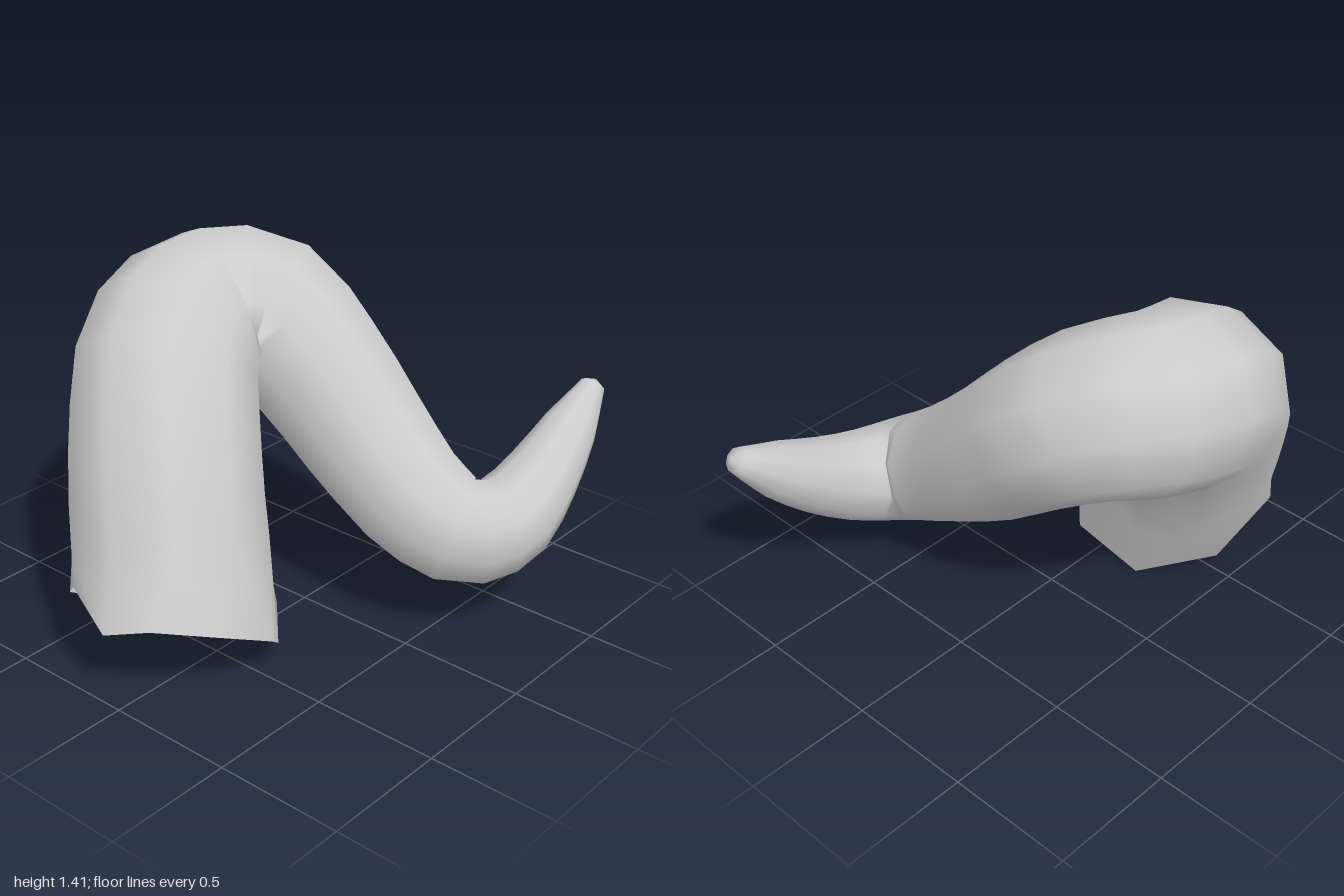
import * as THREE from 'three';

const SIDES = 10;
const STEPS = 28;

// Centre line from the open root to the tip: x, y, z, radius
const SPINE = [
  [-0.09, 0.18, 0.60, 0.375],
  [-0.19, 0.43, 0.54, 0.375],
  [-0.32, 0.74, 0.42, 0.365],
  [-0.45, 0.99, 0.25, 0.35],
  [-0.49, 1.08, 0.02, 0.33],
  [-0.36, 1.07, -0.17, 0.31],
  [-0.12, 0.89, -0.21, 0.285],
  [0.13, 0.67, -0.21, 0.26],
  [0.39, 0.48, -0.20, 0.23],
  [0.56, 0.40, -0.25, 0.21],
  [0.645, 0.41, -0.40, 0.185],
  [0.66, 0.51, -0.60, 0.15],
  [0.655, 0.65, -0.80, 0.11],
  [0.65, 0.78, -0.96, 0.05],
];

// Ragged rim of the open root, counter-clockwise seen from above
const RIM = [
  [-0.46, 0.21, 0.80], [-0.26, 0.38, 0.95], [-0.06, 0.285, 1.0], [0.10, 0.33, 0.93],
  [0.25, 0.28, 0.74], [0.28, 0.16, 0.50], [0.21, 0.07, 0.39], [0.06, 0.11, 0.23],
  [-0.21, 0.0, 0.27], [-0.42, 0.05, 0.52],
];

function tailGeometry() {
  const curve = new THREE.CatmullRomCurve3(SPINE.map(([x, y, z]) => new THREE.Vector3(x, y, z)));
  const radiusAt = (t) => {
    const f = t * (SPINE.length - 1);
    const i = Math.min(Math.floor(f), SPINE.length - 2);
    return THREE.MathUtils.lerp(SPINE[i][3], SPINE[i + 1][3], f - i);
  };
  const positions = RIM.flat();
  const index = [];

  // Ring frame starts at the first rim point and is carried along without twist
  let tangent = curve.getTangent(0);
  const normal = new THREE.Vector3(...RIM[0]).sub(curve.getPoint(0)).projectOnPlane(tangent).normalize();
  const turn = new THREE.Quaternion();

  for (let i = 2; i <= STEPS; i++) {
    const t = i / STEPS;
    const centre = curve.getPoint(t);
    const next = curve.getTangent(t);
    normal.applyQuaternion(turn.setFromUnitVectors(tangent, next));
    tangent = next;
    const side = new THREE.Vector3().crossVectors(tangent, normal);
    for (let j = 0; j < SIDES; j++) {
      const a = (j / SIDES) * Math.PI * 2;
      const p = centre.clone()
        .addScaledVector(normal, Math.cos(a) * radiusAt(t))
        .addScaledVector(side, Math.sin(a) * radiusAt(t));
      positions.push(p.x, p.y, p.z);
    }
  }

  // Skin between neighbouring rings
  const rings = positions.length / 3 / SIDES;
  for (let i = 0; i < rings - 1; i++) {
    for (let j = 0; j < SIDES; j++) {
      const a = i * SIDES + j;
      const b = i * SIDES + ((j + 1) % SIDES);
      index.push(a, b, a + SIDES, b, b + SIDES, a + SIDES);
    }
  }

  // Blunt closed tip
  const tip = curve.getPoint(1).addScaledVector(tangent, 0.03);
  positions.push(tip.x, tip.y, tip.z);
  const last = (rings - 1) * SIDES;
  for (let j = 0; j < SIDES; j++) index.push(last + j, last + ((j + 1) % SIDES), rings * SIDES);

  const geometry = new THREE.BufferGeometry();
  geometry.setAttribute('position', new THREE.Float32BufferAttribute(positions, 3));
  geometry.setIndex(index);
  geometry.computeVertexNormals();
  return geometry;
}

export function createModel() {
  const group = new THREE.Group();
  group.name = 'curledTail';
  const material = new THREE.MeshStandardMaterial({ color: 0xcccccc, side: THREE.DoubleSide });
  const tail = new THREE.Mesh(tailGeometry(), material);
  tail.name = 'tail';
  group.add(tail);
  return group;
}
